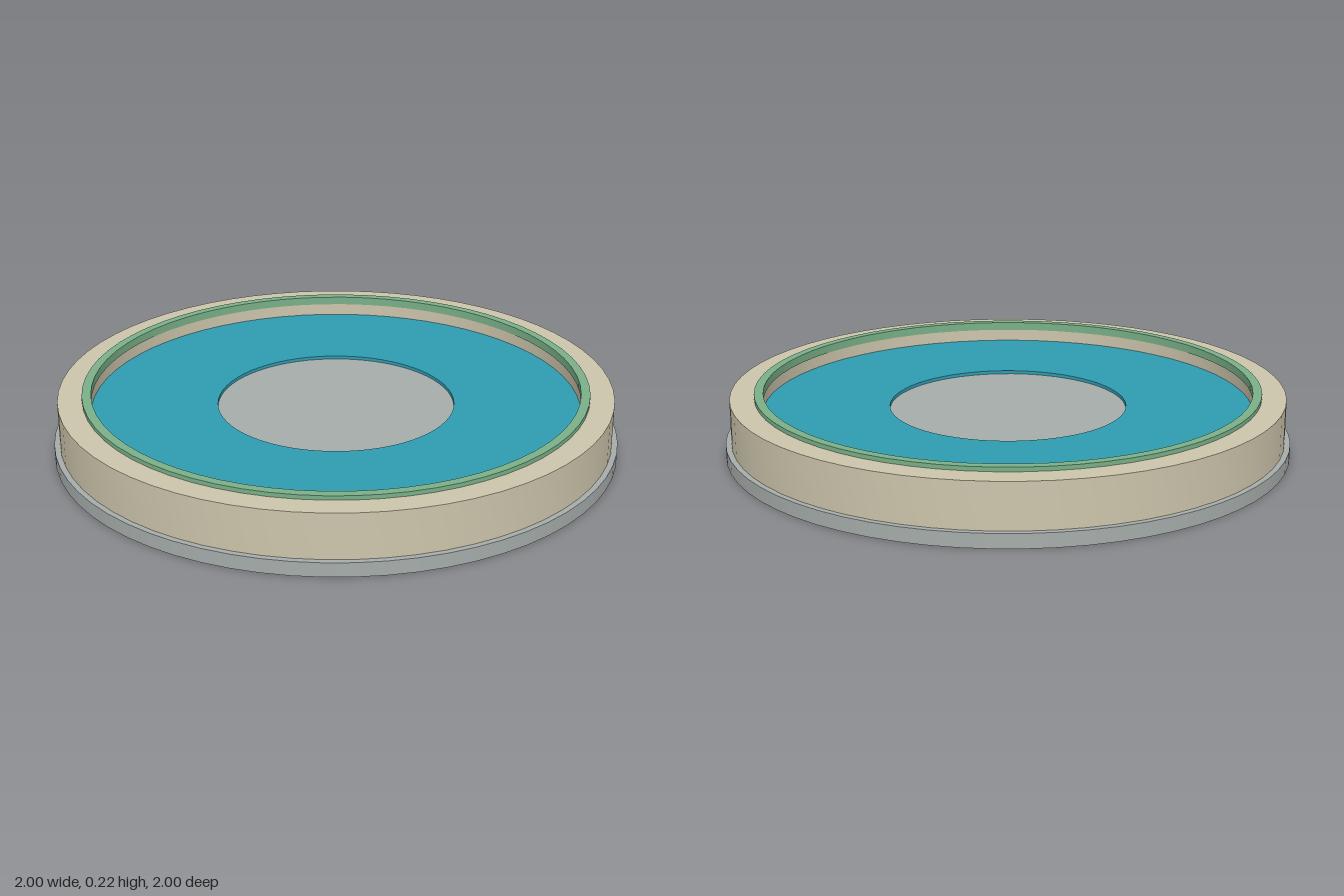
import * as THREE from 'three';
import { toCreasedNormals } from 'three/addons/utils/BufferGeometryUtils.js';

const SEGMENTS = 64;

function material(name, color) {
  const m = new THREE.MeshStandardMaterial({ color });
  m.name = name;
  return m;
}

// Ring with a rectangular section between two radii and two heights
function ring(inner, outer, bottom, top) {
  const profile = [[inner, bottom], [outer, bottom], [outer, top], [inner, top], [inner, bottom]]
    .map(([r, y]) => new THREE.Vector2(r, y));
  return toCreasedNormals(new THREE.LatheGeometry(profile, SEGMENTS), 0.5);
}

// Solid disc between two heights
function disc(radius, bottom, top) {
  return new THREE.CylinderGeometry(radius, radius, top - bottom, SEGMENTS)
    .translate(0, (bottom + top) / 2, 0);
}

export function createModel() {
  const group = new THREE.Group();
  group.name = 'roundBasin';

  const grey = material('grey stone', 0xa6adaa);
  const tan = material('tan stone', 0xcdc5ac);
  const blue = material('water blue', 0x2f9cb1);
  const green = material('rim green', 0x79b088);

  const add = (name, geometry, mat) => {
    const mesh = new THREE.Mesh(geometry, mat);
    mesh.name = name;
    group.add(mesh);
  };

  // Wide foot and the low wall standing on it
  add('base', disc(1, 0, 0.05), grey);
  add('wall', ring(0.867, 0.98, 0.05, 0.21), tan);

  // Thin trim around the inner edge of the wall
  add('rimTrim', ring(0.863, 0.895, 0.195, 0.225), green);

  // Sunken floor with a slightly recessed centre
  add('floorRing', ring(0.42, 0.867, 0.05, 0.15), blue);
  add('centreDisc', disc(0.42, 0.05, 0.138), grey);

  return group;
}
